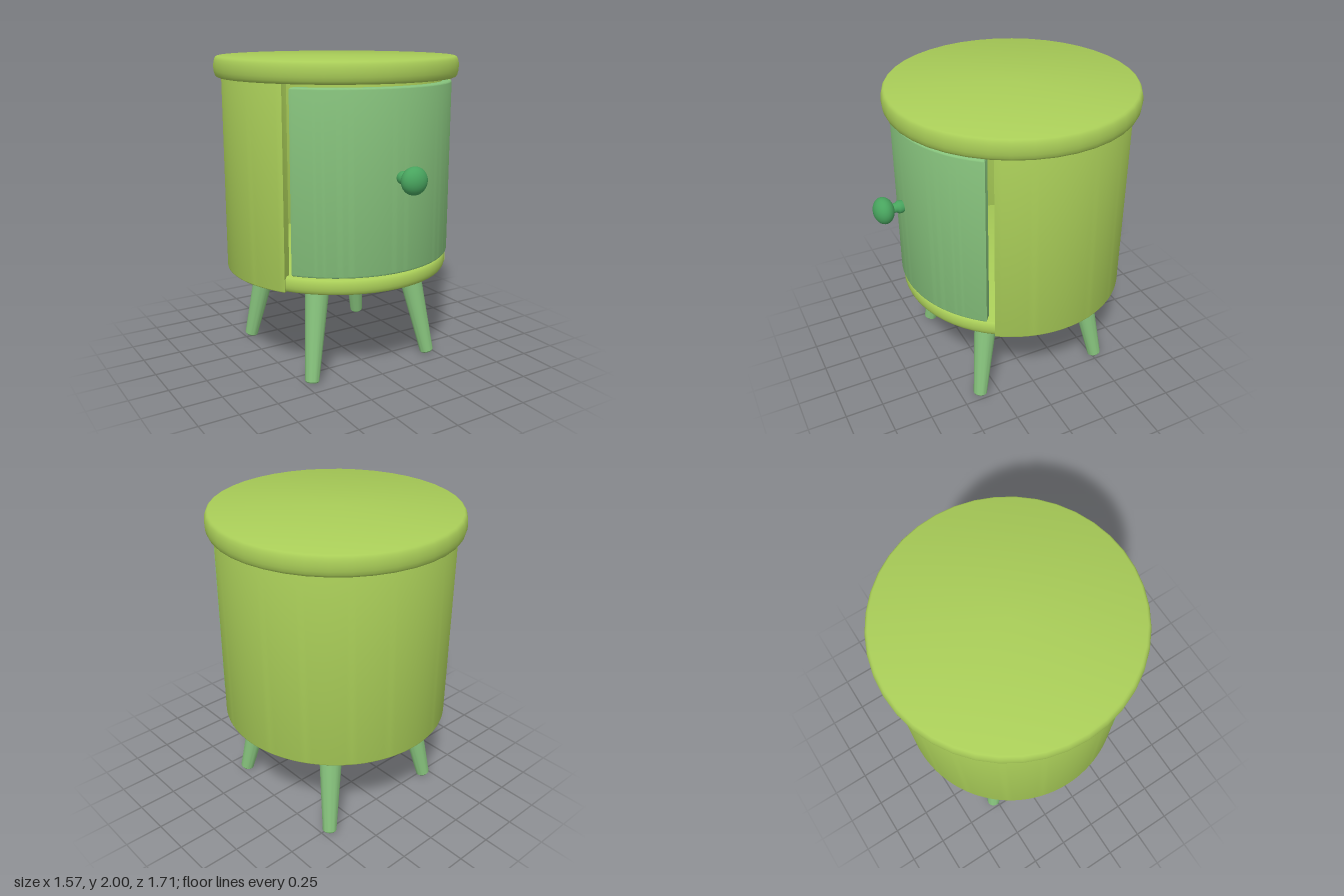
import * as THREE from 'three';
import { toCreasedNormals } from 'three/addons/utils/BufferGeometryUtils.js';

const mat = (name, color) => new THREE.MeshStandardMaterial({ name, color });
const CENTER_Z = -0.072;
const FRONT = -Math.PI / 2;

// Upright curved panel between two radii and two angles, with softened edges
function curvedPanel(inner, outer, start, end, y0, y1, bevel) {
  const shape = new THREE.Shape();
  shape.absarc(0, 0, outer, start, end, false);
  shape.absarc(0, 0, inner, end, start, true);
  shape.closePath();
  const geo = new THREE.ExtrudeGeometry(shape, {
    depth: y1 - y0 - 2 * bevel, curveSegments: 40, bevelEnabled: true,
    bevelThickness: bevel, bevelSize: bevel, bevelOffset: -bevel, bevelSegments: 3,
  });
  geo.rotateX(-Math.PI / 2);
  geo.translate(0, y0 + bevel, 0);
  return toCreasedNormals(geo, 0.6);
}

// Solid disc whose rim bulges outwards
function roundedDisc(radius, y0, y1, bulge, segments) {
  const h = (y1 - y0) / 2, mid = (y0 + y1) / 2;
  const points = [new THREE.Vector2(0, y0)];
  for (let i = 0; i <= 8; i++) {
    const a = -Math.PI / 2 + (i / 8) * Math.PI;
    points.push(new THREE.Vector2(radius - bulge + bulge * Math.cos(a), mid + h * Math.sin(a)));
  }
  points.push(new THREE.Vector2(0, y1));
  return toCreasedNormals(new THREE.LatheGeometry(points, segments), 0.7);
}

export function createModel() {
  const model = new THREE.Group();
  model.name = 'roundBedsideCabinet';
  const olive = mat('olive green', 0xa9cd58);
  const sage = mat('sage green', 0x86c27c);
  const emerald = mat('emerald green', 0x48a45e);

  const add = (name, geo, material, z = CENTER_Z) => {
    const mesh = new THREE.Mesh(geo, material);
    mesh.name = name;
    mesh.position.z = z;
    model.add(mesh);
    return mesh;
  };

  // Cabinet: lid, open-fronted wall and floor
  add('lid', roundedDisc(0.786, 1.87, 2, 0.025, 40), olive);
  const gap = 0.975;
  add('wall', curvedPanel(0.68, 0.737, FRONT + gap, FRONT + 2 * Math.PI - gap, 0.622, 1.875, 0.008), olive);
  add('floor', roundedDisc(0.732, 0.624, 0.72, 0.022, 64), olive);

  // Curved door with knob
  add('door', curvedPanel(0.68, 0.742, FRONT - 0.909, FRONT + 0.909, 0.735, 1.85, 0.012), sage);
  const stemProfile = [[0.034, -0.01], [0.04, 0.01], [0.04, 0.03], [0.03, 0.045], [0.03, 0.085]]
    .map(([r, y]) => new THREE.Vector2(r, y));
  const stem = new THREE.LatheGeometry(stemProfile, 24);
  stem.rotateX(Math.PI / 2);
  add('knobStem', stem, emerald, 0.67).position.y = 1.325;
  const knob = new THREE.SphereGeometry(0.084, 32, 20);
  knob.rotateX(Math.PI / 2);
  knob.scale(1, 1, 0.76);
  add('knob', knob, emerald, 0.792).position.y = 1.325;

  // Four splayed, tapered legs
  const up = new THREE.Vector3(0, 1, 0);
  for (const [sx, sz, name] of [[1, 1, 'frontLeftLeg'], [-1, 1, 'frontRightLeg'], [1, -1, 'backLeftLeg'], [-1, -1, 'backRightLeg']]) {
    const foot = new THREE.Vector3(sx * 0.45, 0.013, sz * 0.45);
    const top = new THREE.Vector3(sx * 0.342, 0.65, sz * 0.342);
    const dir = top.clone().sub(foot);
    const length = dir.length();
    const profile = [[0, 0], [0.038, 0], [0.045, 0.008], [0.08, length], [0, length]]
      .map(([r, y]) => new THREE.Vector2(r, y));
    const leg = add(name, toCreasedNormals(new THREE.LatheGeometry(profile, 28), 0.6), sage);
    leg.position.copy(foot);
    leg.position.z += CENTER_Z;
    leg.quaternion.setFromUnitVectors(up, dir.normalize());
  }
  return model;
}
